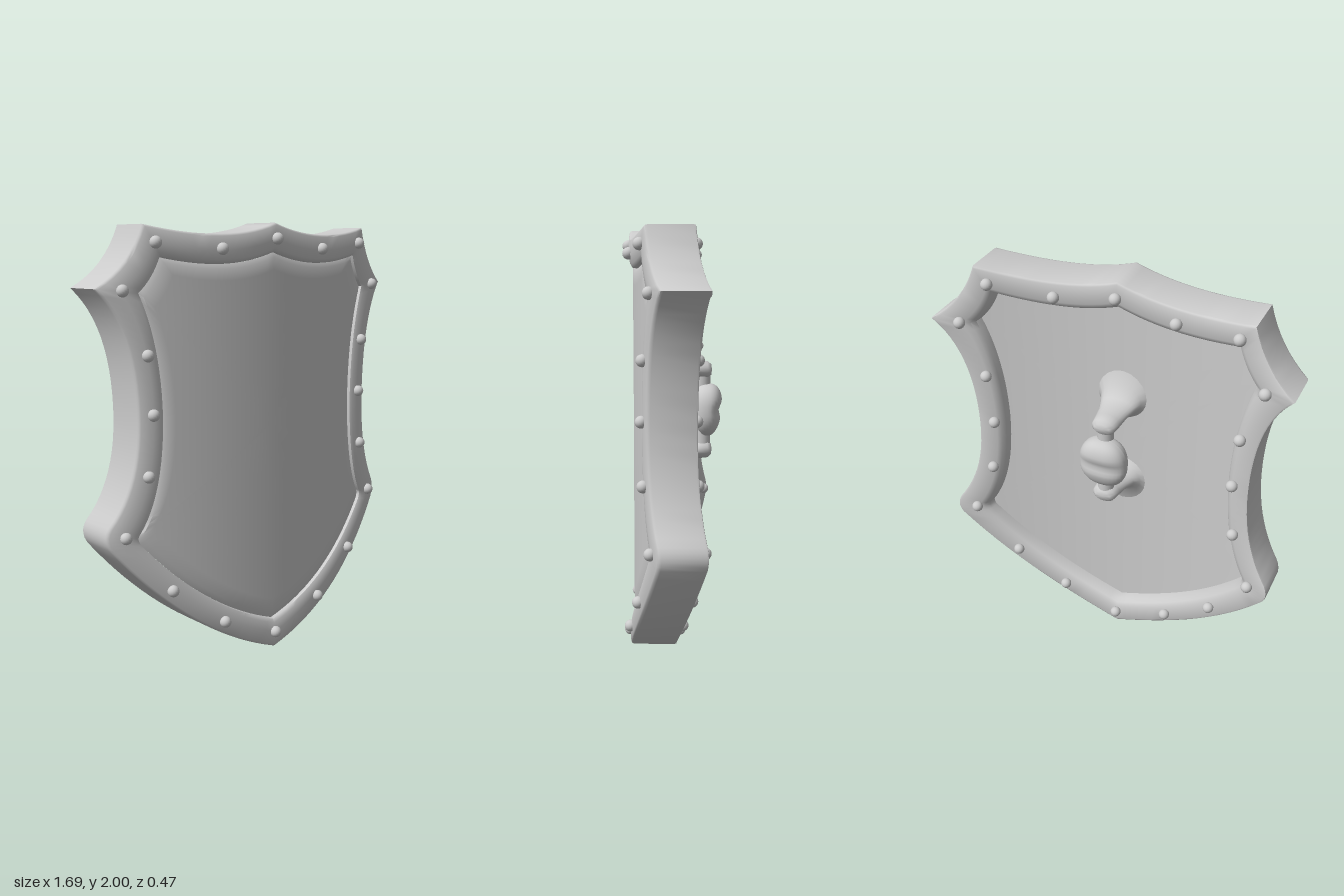
import * as THREE from 'three';
import { toCreasedNormals } from 'three/addons/utils/BufferGeometryUtils.js';

// Half outlines as quadratic curves [control, end], starting at the top centre
const OUTER = { start: [0, 2], curves: [
  [[0.27, 1.905], [0.645, 1.987]], [[0.70, 1.81], [0.847, 1.72]],
  [[0.69, 1.56], [0.68, 1.2]], [[0.67, 0.88], [0.81, 0.69]],
  [[0.838, 0.64], [0.808, 0.59]], [[0.48, 0.16], [0, 0]]] };
const INNER = { start: [0, 1.87], curves: [
  [[0.25, 1.78], [0.57, 1.85]], [[0.60, 1.76], [0.66, 1.70]],
  [[0.57, 1.48], [0.565, 1.17]], [[0.565, 0.83], [0.67, 0.655]],
  [[0.69, 0.635], [0.67, 0.605]], [[0.39, 0.265], [0, 0.14]]] };
const STEPS = [14, 8, 12, 12, 5, 18];

// Full closed outline, clockwise from the top centre
function outline({ start, curves }) {
  const half = [new THREE.Vector2(...start)];
  curves.forEach(([c, e], k) => {
    const p0 = half[half.length - 1];
    const curve = new THREE.QuadraticBezierCurve(p0, new THREE.Vector2(...c), new THREE.Vector2(...e));
    half.push(...curve.getPoints(STEPS[k]).slice(1));
  });
  const other = half.slice(1, -1).reverse().map(p => new THREE.Vector2(-p.x, p.y));
  return [...half, ...other];
}

// Skin over closed rings of [x, y, z] points
function loft(rings, crease) {
  const n = rings[0].length, index = [];
  for (let r = 0; r < rings.length - 1; r++) {
    for (let i = 0; i < n; i++) {
      const a = r * n + i, c = r * n + (i + 1) % n, b = a + n, d = c + n;
      index.push(a, b, c, c, b, d);
    }
  }
  const g = new THREE.BufferGeometry();
  g.setAttribute('position', new THREE.Float32BufferAttribute(rings.flat(2), 3));
  g.setIndex(index);
  return toCreasedNormals(g, crease);
}

// Sideways curvature of the shield, a little flatter on the back
const bend = (x, z) => z - x * x * (z > 0.08 ? 0.237 : 0.222);

export function createModel() {
  const group = new THREE.Group();
  const steel = new THREE.MeshStandardMaterial({ color: 0xcccccc });
  steel.name = 'steel grey';
  const add = (geometry, name, parent = group) => {
    const mesh = new THREE.Mesh(geometry, steel);
    mesh.name = name;
    parent.add(mesh);
    return mesh;
  };

  const outer = outline(OUTER), inner = outline(INNER);
  // Ring between the outer (0) and inner (1) outlines at a depth
  const rimRing = ([s, z]) => outer.map((o, i) => {
    const p = o.clone().lerp(inner[i], s);
    return [p.x, p.y, bend(p.x, z)];
  });
  // Inner outline shrunk towards the middle of the panel
  const panelRing = (k, z) => inner.map(p => {
    const x = p.x * k;
    return [x, 1.1 + (p.y - 1.1) * k, bend(x, z)];
  });

  // Thick raised rim with rounded edges
  add(loft([[1, 0.05], [0.97, 0.012], [0.88, -0.008], [0.72, -0.019], [0.08, -0.02], [0.02, -0.016], [0, -0.008],
    [0, 0.186], [0.02, 0.196], [0.08, 0.201], [0.55, 0.203], [0.85, 0.197], [0.97, 0.188], [1, 0.17]]
    .map(rimRing), 0.85), 'rim');

  // Curved panel, front and back
  const scales = [1, 0.97, 0.9, 0.75, 0.6, 0.45, 0.3, 0.15, 0];
  add(loft(scales.map(k => panelRing(k, k === 1 ? 0.172 : 0.183)), 0.6), 'frontPanel');
  add(loft([...scales].reverse().map(k => panelRing(k, 0.05)), 0.6), 'backPanel');

  // Rivets on both faces of the rim, the back ones set slightly inwards
  const rivets = new THREE.Group();
  rivets.name = 'rivets';
  group.add(rivets);
  const ball = new THREE.SphereGeometry(0.027, 16, 12);
  const spots = [[0, 1.93], [0.295, 1.885], [0.6, 1.912], [0.74, 1.712], [0.64, 1.437], [0.62, 1.18],
    [0.645, 0.91], [0.747, 0.645], [0.545, 0.38], [0.29, 0.19], [0, 0.077]];
  for (const [x, y] of spots) {
    for (const side of x ? [1, -1] : [1]) {
      const backX = x * 0.968;
      add(ball, 'frontRivet', rivets).position.set(side * x, y, bend(x, 0.209));
      add(ball, 'backRivet', rivets).position.set(side * backX, y, bend(backX, -0.035));
    }
  }

  // Handle on the back: two flared brackets, a bar and a swollen grip
  const handle = new THREE.Group();
  handle.name = 'handle';
  group.add(handle);
  const MID = 1.165;
  // [z, half width, inner height, outer height] measured from the handle's middle
  const stations = [[-0.185, 0, 0.19, 0.19], [-0.182, 0.038, 0.165, 0.215], [-0.165, 0.056, 0.15, 0.23],
    [-0.12, 0.062, 0.15, 0.235], [-0.06, 0.07, 0.165, 0.235], [-0.01, 0.085, 0.165, 0.25],
    [0.03, 0.1, 0.145, 0.3], [0.055, 0.13, 0.11, 0.38]];
  for (const dir of [1, -1]) {
    const rings = stations.map(([z, w, lo, hi]) => Array.from({ length: 20 }, (_, i) => {
      const a = i / 20 * Math.PI * 2;
      return [dir * w * Math.sin(a), MID + dir * ((lo + hi) / 2 + (hi - lo) / 2 * Math.cos(a)), z];
    }));
    add(loft(rings, 1), dir > 0 ? 'upperBracket' : 'lowerBracket', handle);
  }
  add(new THREE.CylinderGeometry(0.038, 0.038, 0.38, 20), 'gripBar', handle).position.set(0, MID, -0.14);

  const grip = new THREE.SphereGeometry(1, 32, 24);
  const pos = grip.attributes.position;
  const square = v => Math.sign(v) * Math.abs(v) ** 0.85;
  for (let i = 0; i < pos.count; i++) {
    const x = pos.getX(i), y = pos.getY(i), z = pos.getZ(i);
    // Fuller at the top, with a shallow crease across the back
    const dent = z < 0 ? 0.015 * Math.exp(-((y * 6) ** 2)) * -z : 0;
    pos.setXYZ(i, square(x) * 0.115, square(y) * 0.125, square(z) * (0.069 + 0.014 * y) + dent);
  }
  grip.computeVertexNormals();
  add(grip, 'grip', handle).position.set(0, MID, -0.163);

  return group;
}
